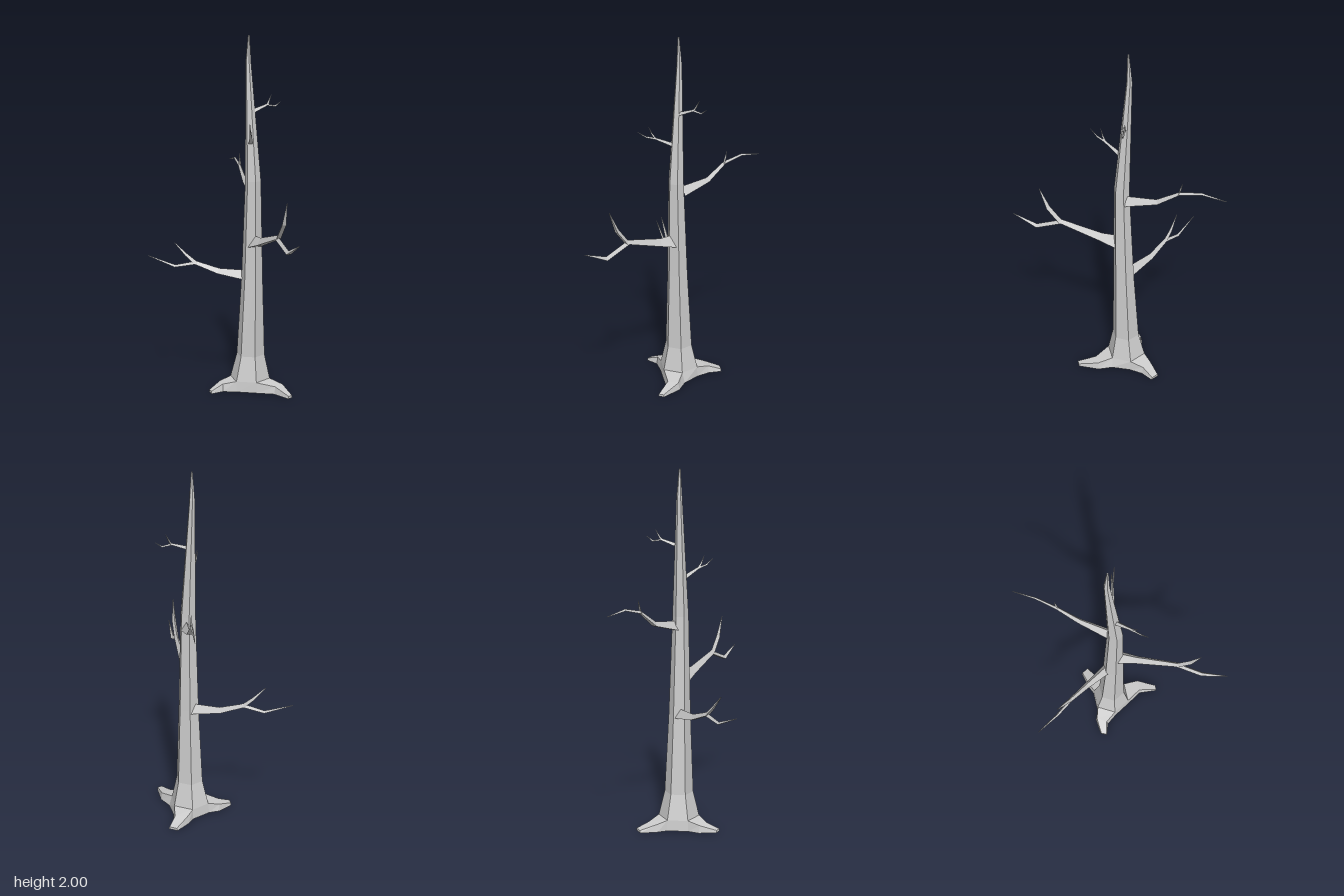
import * as THREE from 'three';

const V = (x, y, z) => new THREE.Vector3(x, y, z);

function meshFrom(name, points, material) {
  const geometry = new THREE.BufferGeometry().setFromPoints(points);
  geometry.computeVertexNormals();
  const mesh = new THREE.Mesh(geometry, material);
  mesh.name = name;
  return mesh;
}

const quad = (a, b, c, d) => [a, b, c, a, c, d];

// Skin between rings of points, closed at the far end
function loft(rings) {
  const out = [];
  const n = rings[0].length;
  for (let k = 0; k < rings.length - 1; k++) {
    for (let i = 0; i < n; i++) {
      const j = (i + 1) % n;
      out.push(...quad(rings[k][i], rings[k][j], rings[k + 1][j], rings[k + 1][i]));
    }
  }
  const end = rings[rings.length - 1];
  for (let i = 1; i < n - 1; i++) out.push(end[0], end[i], end[i + 1]);
  return out;
}

// Six-sided trunk ring with corners towards front and back
function trunkRing([y, cx, cz, r]) {
  return Array.from({ length: 6 }, (_, i) => {
    const a = Math.PI / 6 + (i * Math.PI) / 3;
    return V(cx + r * Math.cos(a), y, cz - r * Math.sin(a));
  });
}

// Three-sided limb along a path of [x, y, z, radius], ridge upwards
function limb(path) {
  const p = path.map(([x, y, z]) => V(x, y, z));
  return loft(path.map(([, , , r], k) => {
    const t = V(0, 0, 0);
    if (k > 0) t.add(p[k].clone().sub(p[k - 1]).normalize());
    if (k < p.length - 1) t.add(p[k + 1].clone().sub(p[k]).normalize());
    if (k === 0) t.y = 0;
    t.normalize();
    const side = t.clone().cross(V(0, 1, 0)).normalize();
    const up = side.clone().cross(t);
    return [0, 1, 2].map((i) => {
      const a = (i * 2 * Math.PI) / 3;
      return p[k].clone().addScaledVector(up, r * Math.cos(a)).addScaledVector(side, r * Math.sin(a));
    });
  }));
}

// Ground outline: six points for each of three roots, out along one side and back along the other
const ROOTS = [
  [[0.045, -0.075], [0.13, -0.073], [0.24, -0.02], [0.24, 0.016], [0.13, 0.007], [0.043, 0.06]],
  [[-0.055, 0.118], [-0.118, 0.165], [-0.14, 0.235], [-0.178, 0.217], [-0.188, 0.12], [-0.165, 0.06]],
  [[-0.165, -0.06], [-0.188, -0.11], [-0.21, -0.205], [-0.162, -0.233], [-0.12, -0.167], [-0.055, -0.118]],
];

function rootBase(collar) {
  const out = [];
  const ground = [];
  const top = [];
  const heights = [0.06, 0.042, 0.014];
  ROOTS.forEach((root, k) => {
    const g = root.map(([x, z]) => V(x, 0, z));
    const t = g.map((p, i) => {
      const q = p.clone().lerp(g[5 - i], 0.1);
      q.y = heights[Math.min(i, 5 - i)];
      return q;
    });
    t[0] = collar[(11 - 2 * k) % 6];
    t[5] = collar[(10 - 2 * k) % 6 === 4 ? 0 : (12 - 2 * k) % 6];
    // Corner order on the collar runs the other way round
    t[0] = nearest(collar, g[0]);
    t[5] = nearest(collar, g[5]);
    out.push(...quad(t[0], t[5], t[4], t[1]), ...quad(t[1], t[4], t[3], t[2]));
    ground.push(...g);
    top.push(...t);
  });
  // Outer walls
  ground.forEach((g, i) => {
    const j = (i + 1) % ground.length;
    out.push(...quad(ground[j], g, top[i], top[j]));
  });
  // Underside
  const flat = ground.map((g) => new THREE.Vector2(g.x, g.z));
  for (const f of THREE.ShapeUtils.triangulateShape(flat, [])) out.push(...f.map((i) => ground[i]));
  return out;
}

function nearest(points, p) {
  return points.reduce((a, b) => (b.distanceTo(p) < a.distanceTo(p) ? b : a));
}

// Each branch is a main stem plus forks that start from its joint
const BRANCHES = {
  leftBranch: [
    [[-0.02, 0.85, 0.015, 0.046], [0.08, 0.872, 0.065, 0.027], [0.295, 0.94, 0.172, 0.015], [0.355, 1.02, 0.2, 0.014], [0.398, 1.137, 0.225, 0.002]],
    [[0.28, 0.938, 0.165, 0.014], [0.42, 0.882, 0.238, 0.014], [0.545, 0.943, 0.302, 0.002]],
  ],
  lowerRightBranch: [
    [[-0.07, 0.65, 0, 0.036], [-0.22, 0.672, 0.09, 0.02], [-0.33, 0.72, 0.168, 0.013], [-0.37, 0.765, 0.2, 0.01], [-0.418, 0.838, 0.245, 0.002]],
    [[-0.32, 0.72, 0.162, 0.012], [-0.425, 0.697, 0.235, 0.009], [-0.55, 0.757, 0.328, 0.002]],
  ],
  upperRightBranch: [
    [[-0.05, 1.142, -0.02, 0.034], [-0.2, 1.178, -0.118, 0.017], [-0.305, 1.258, -0.185, 0.01], [-0.405, 1.285, -0.255, 0.007], [-0.52, 1.267, -0.33, 0.002]],
    [[-0.3, 1.255, -0.182, 0.009], [-0.308, 1.285, -0.189, 0.006], [-0.316, 1.325, -0.195, 0.001]],
  ],
  frontTwig: [
    [[-0.035, 1.408, 0.02, 0.015], [0.04, 1.46, 0.102, 0.007], [0.05, 1.485, 0.117, 0.005], [0.06, 1.527, 0.132, 0.001]],
    [[0.036, 1.458, 0.1, 0.007], [0.075, 1.474, 0.143, 0.005], [0.108, 1.508, 0.18, 0.001]],
  ],
  backTwig: [
    [[-0.037, 1.587, -0.01, 0.013], [-0.017, 1.62, -0.1, 0.007], [-0.018, 1.64, -0.113, 0.005], [-0.014, 1.677, -0.132, 0.001]],
    [[-0.018, 1.618, -0.097, 0.006], [0.0, 1.61, -0.147, 0.005], [0.011, 1.636, -0.182, 0.001]],
  ],
};

export function createModel() {
  const group = new THREE.Group();
  group.name = 'bareTree';
  const bark = new THREE.MeshStandardMaterial({ color: 0xcccccc, flatShading: true });

  const rings = [
    [0.06, -0.06, 0, 0.115],
    [0.2, -0.055, 0, 0.081],
    [0.65, -0.041, 0.003, 0.061],
    [1.2, -0.029, 0.007, 0.045],
    [1.85, -0.067, 0.003, 0.016],
    [2, -0.061, 0.005, 0.005],
  ].map(trunkRing);
  group.add(meshFrom('trunk', loft(rings), bark));
  group.add(meshFrom('roots', rootBase(rings[0]), bark));

  for (const [name, limbs] of Object.entries(BRANCHES)) {
    group.add(meshFrom(name, limbs.flatMap(limb), bark));
  }
  return group;
}
